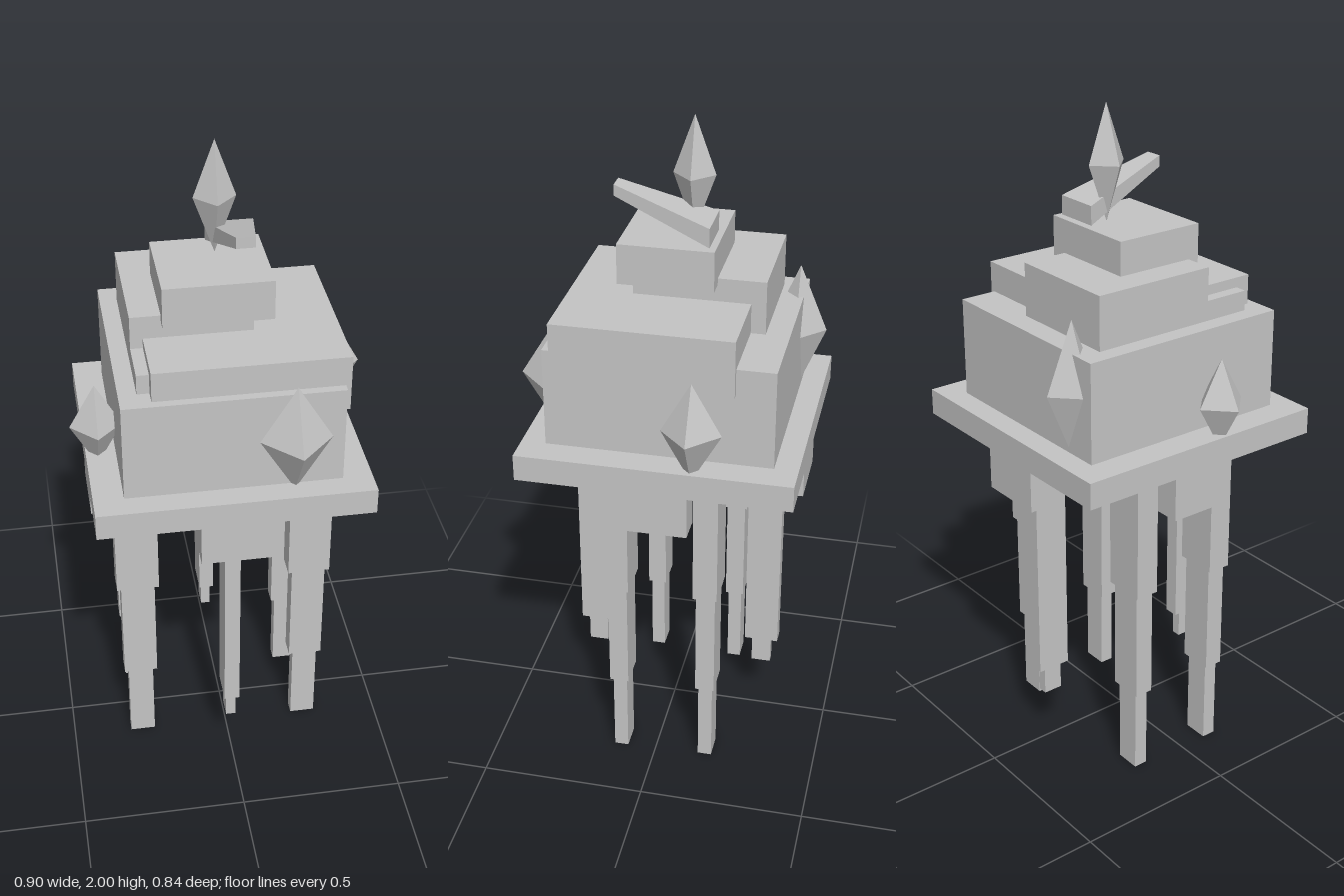
import * as THREE from 'three';

export function createModel() {
  const model = new THREE.Group();
  model.name = 'tower';
  const stone = new THREE.MeshStandardMaterial({ color: 0xc4c4c4 });
  stone.name = 'grey stone';

  const add = (name, geometry, parent = model) => {
    const mesh = new THREE.Mesh(geometry, stone);
    mesh.name = name;
    parent.add(mesh);
    return mesh;
  };
  // Box given by its limits on each axis
  const block = (name, [x0, x1], [y0, y1], [z0, z1], parent) =>
    add(name, new THREE.BoxGeometry(x1 - x0, y1 - y0, z1 - z0), parent)
      .position.set((x0 + x1) / 2, (y0 + y1) / 2, (z0 + z1) / 2);
  // Four-sided double pyramid
  const crystal = (name, x, y, z, radius, halfHeight) =>
    add(name, new THREE.OctahedronGeometry(1).scale(radius, halfHeight, radius))
      .position.set(x, y, z);

  // Platform and stacked tiers
  block('platform', [-0.408, 0.396], [1.02, 1.1], [-0.42, 0.385]);
  block('lowerTier', [-0.32, 0.309], [1.1, 1.4], [-0.35, 0.313]);
  block('middleTier', [-0.232, 0.325], [1.32, 1.49], [-0.237, 0.288]);
  block('rearTier', [-0.268, 0.082], [1.39, 1.56], [-0.28, 0.104]);
  block('sideLedge', [-0.268, -0.1], [1.39, 1.46], [-0.1, 0.244]);
  block('topTier', [-0.18, 0.135], [1.54, 1.66], [-0.14, 0.138]);

  // Crystals on the roof and walls
  crystal('topCrystal', -0.005, 1.83, -0.055, 0.061, 0.17);
  crystal('frontCrystal', 0.17, 1.25, 0.312, 0.105, 0.172);
  crystal('leftCrystal', 0.361, 1.215, -0.123, 0.087, 0.155);
  crystal('rightCrystal', -0.373, 1.19, 0.069, 0.077, 0.137);
  crystal('backCrystal', -0.215, 1.285, -0.335, 0.085, 0.205);

  // Tapered blade rising toward the front
  const bladeGeometry = new THREE.BoxGeometry(1, 1, 1);
  const p = bladeGeometry.attributes.position;
  for (let i = 0; i < p.count; i++) {
    const front = p.getZ(i) > 0, top = p.getY(i) > 0;
    p.setXYZ(i,
      0.047 + p.getX(i) * (front ? 0.053 : 0.139),
      front ? (top ? 1.81 : 1.777) : (top ? 1.72 : 1.663),
      front ? 0.157 : -0.122);
  }
  bladeGeometry.computeVertexNormals();
  add('blade', bladeGeometry);

  // Brackets under the platform edges
  block('frontBracket', [-0.11, 0.097], [0.885, 1.02], [0.29, 0.375]);
  block('backBracket', [-0.11, 0.097], [0.885, 1.02], [-0.41, -0.323]);
  block('leftBracket', [0.302, 0.387], [0.885, 1.02], [-0.117, 0.09]);
  block('rightBracket', [-0.403, -0.318], [0.885, 1.02], [-0.117, 0.09]);

  // Stepped leg: each section is [top, bottom, width, depth]
  const leg = (name, x, z, sections) => {
    const group = new THREE.Group();
    group.name = name;
    for (const [top, bottom, w, d] of sections) {
      block('legSection', [x - w / 2, x + w / 2], [bottom, top], [z - d / 2, z + d / 2], group);
    }
    model.add(group);
  };
  const longLeg = [[1, 0.62, 0.13, 0.073], [0.62, 0.27, 0.104, 0.058], [0.27, 0, 0.078, 0.043]];
  const shortLeg = [[0.97, 0.27, 0.047, 0.105], [0.27, 0.18, 0.03, 0.06]];
  leg('frontLeftLeg', 0.26, 0.11, longLeg);
  leg('backLeftLeg', 0.25, -0.158, longLeg);
  leg('frontRightLeg', -0.276, 0.11, longLeg);
  leg('backRightLeg', -0.265, -0.158, longLeg);
  leg('frontMiddleLeg', -0.008, 0.256, shortLeg);
  leg('backMiddleLeg', -0.008, -0.287, shortLeg);

  return model;
}
